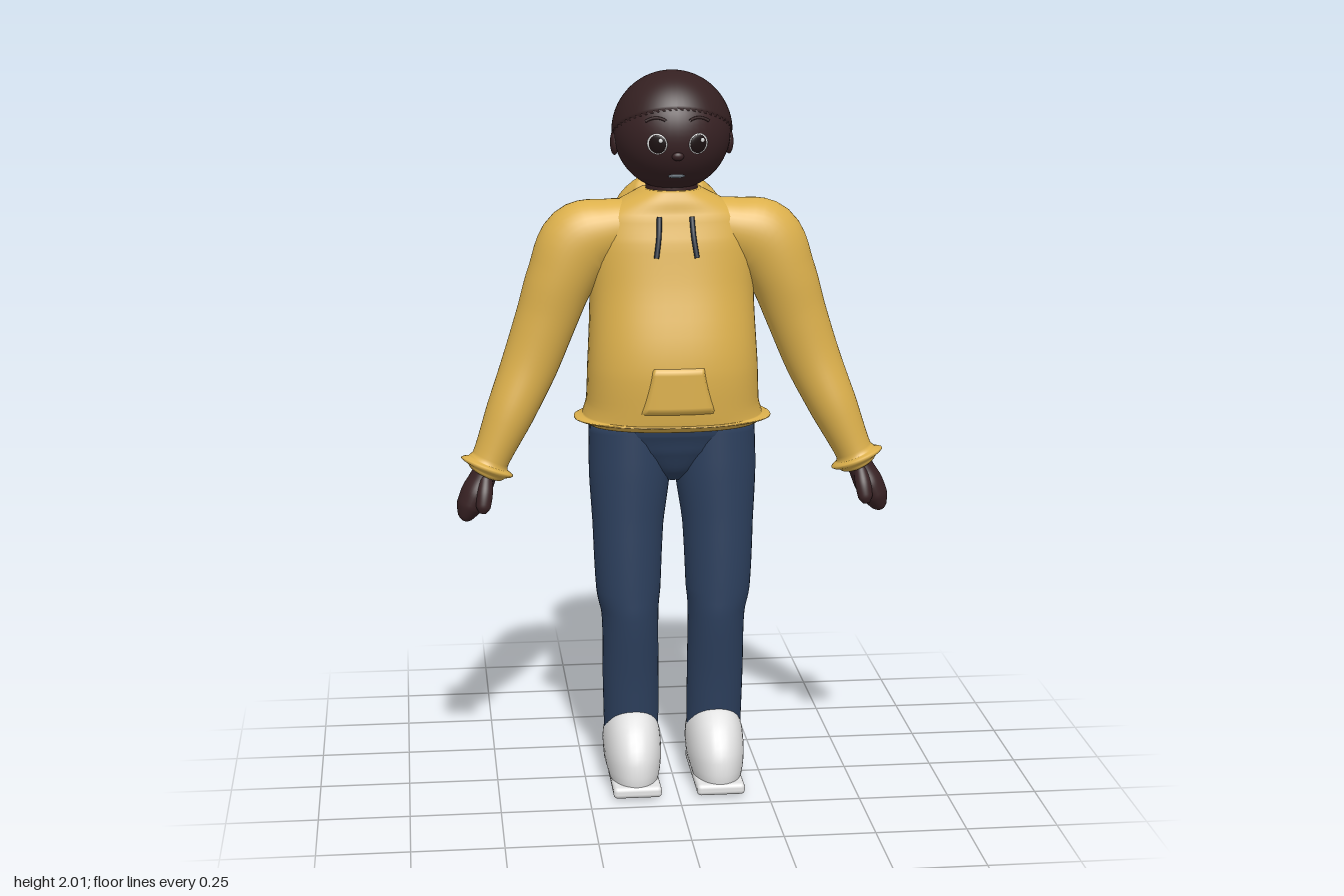
import * as THREE from 'three';
import { RoundedBoxGeometry } from 'three/addons/geometries/RoundedBoxGeometry.js';

const material = (name, color) => {
  const m = new THREE.MeshStandardMaterial({ color });
  m.name = name;
  return m;
};

// Closed smooth skin through elliptical sections [x, y, z, radiusX, radiusZ].
function loft(sections, n = 2, around = 40, perSpan = 5) {
  const path = new THREE.CatmullRomCurve3(sections.map(s => new THREE.Vector3(s[0], s[1], s[2])));
  const size = new THREE.CatmullRomCurve3(sections.map(s => new THREE.Vector3(s[3], s[4], 0)));
  const steps = (sections.length - 1) * perSpan;
  const pos = [], index = [];
  const power = v => Math.sign(v) * Math.abs(v) ** (2 / n);
  for (let i = -1; i <= steps + 1; i++) {
    const t = Math.min(Math.max(i / steps, 0), 1);
    const shut = i < 0 || i > steps ? 0 : 1;
    const c = path.getPoint(t), r = size.getPoint(t);
    const dir = path.getPoint(Math.min(t + 0.01, 1)).sub(path.getPoint(Math.max(t - 0.01, 0))).normalize();
    const a = new THREE.Vector3(dir.y, -dir.x, 0).normalize();
    const b = dir.clone().cross(a);
    for (let j = 0; j < around; j++) {
      const q = j / around * Math.PI * 2;
      const p = c.clone()
        .addScaledVector(a, power(Math.cos(q)) * r.x * shut)
        .addScaledVector(b, -power(Math.sin(q)) * r.y * shut);
      pos.push(p.x, p.y, p.z);
    }
  }
  for (let i = 0; i < steps + 2; i++) {
    for (let j = 0; j < around; j++) {
      const k = (j + 1) % around, lo = i * around, hi = lo + around;
      index.push(lo + j, hi + j, lo + k, lo + k, hi + j, hi + k);
    }
  }
  const g = new THREE.BufferGeometry();
  g.setAttribute('position', new THREE.Float32BufferAttribute(pos, 3));
  g.setIndex(index);
  g.computeVertexNormals();
  return g;
}

const mirror = (sections, side) => sections.map(([x, ...rest]) => [x * side, ...rest]);

export function createModel() {
  const model = new THREE.Group();
  const fabric = material('yellow fabric', 0xdcb04c);
  const denim = material('navy denim', 0x2d405e);
  const skin = material('dark skin', 0x382224);
  const hair = material('hair', 0x342021);
  hair.side = THREE.DoubleSide;
  const white = material('white', 0xe4e4e4);
  const cord = material('dark cord', 0x232b38);
  const iris = material('iris', 0x1c1112);
  const lips = material('mouth', 0x76828c);

  const add = (name, geometry, mat, parent = model) => {
    const m = new THREE.Mesh(geometry, mat);
    m.name = name;
    parent.add(m);
    return m;
  };

  // Sweater body, wide at the hem and closing at the collar
  add('sweaterBody', loft([
    [0, 1.035, 0, 0.235, 0.155], [0, 1.045, 0, 0.25, 0.166], [0, 1.06, 0, 0.25, 0.166],
    [0, 1.1, 0.003, 0.239, 0.168], [0, 1.2, 0.005, 0.235, 0.17], [0, 1.4, -0.017, 0.226, 0.148],
    [0, 1.54, -0.023, 0.23, 0.128], [0, 1.61, -0.024, 0.21, 0.11], [0, 1.652, -0.024, 0.14, 0.1],
    [0, 1.682, -0.024, 0.08, 0.09],
  ], 2.3, 56), fabric);

  // Hood lying on the back
  add('hood', loft([
    [0, 1.412, -0.165, 0.035, 0.018], [0, 1.44, -0.15, 0.1, 0.048], [0, 1.5, -0.13, 0.15, 0.075],
    [0, 1.58, -0.115, 0.165, 0.088], [0, 1.64, -0.1, 0.14, 0.08], [0, 1.682, -0.06, 0.085, 0.06],
  ]), fabric);

  // Front pocket: curved trapezoid whose rim sinks into the body
  const pocket = new THREE.PlaneGeometry(1, 1, 24, 12);
  const pp = pocket.attributes.position;
  for (let i = 0; i < pp.count; i++) {
    const u = pp.getX(i) * 2, v = pp.getY(i) + 0.5;
    const rim = Math.abs(u) > 0.99 || v < 0.01 || v > 0.99;
    const x = u * (0.072 + 0.032 * (1 - v) ** 1.3), y = 1.085 + v * 0.135;
    const front = 0.005 + 0.17 * (1 - Math.abs(x / 0.235) ** 2.3) ** (1 / 2.3);
    pp.setXYZ(i, x, y, front + (rim ? -0.008 : 0.008));
  }
  pocket.computeVertexNormals();
  add('pocket', pocket, fabric);

  // Hips joining both trouser legs
  add('trouserHips', loft([
    [0, 0.87, -0.005, 0.03, 0.05], [0, 0.9, -0.008, 0.09, 0.09], [0, 0.96, -0.014, 0.19, 0.125],
    [0, 1.02, -0.016, 0.232, 0.142], [0, 1.07, -0.01, 0.225, 0.145],
  ], 2.2), denim);

  for (const side of [1, -1]) {
    const label = side > 0 ? 'left' : 'right';
    const limb = (part, sections, mat, n) => add(label + part, loft(mirror(sections, side), n), mat);

    // Sleeve from the collar over the shoulder to a flared cuff
    limb('Sleeve', [
      [0.05, 1.58, -0.015, 0.07, 0.07], [0.17, 1.565, -0.012, 0.09, 0.084], [0.25, 1.535, -0.01, 0.11, 0.09],
      [0.305, 1.44, -0.01, 0.094, 0.088], [0.345, 1.33, -0.012, 0.085, 0.082], [0.393, 1.2, -0.008, 0.078, 0.078],
      [0.45, 1.07, 0.012, 0.067, 0.073], [0.506, 0.945, 0.027, 0.052, 0.06], [0.512, 0.932, 0.028, 0.058, 0.064],
      [0.519, 0.915, 0.03, 0.058, 0.064], [0.523, 0.907, 0.03, 0.047, 0.054],
    ], fabric);

    // Mitten hand with a thumb towards the front
    limb('Hand', [
      [0.51, 0.935, 0.03, 0.032, 0.036], [0.53, 0.89, 0.034, 0.036, 0.045], [0.55, 0.85, 0.038, 0.04, 0.056],
      [0.567, 0.815, 0.042, 0.036, 0.053], [0.58, 0.785, 0.046, 0.02, 0.032], [0.583, 0.778, 0.046, 0.008, 0.015],
    ], skin);
    limb('Thumb', [
      [0.52, 0.9, 0.06, 0.018, 0.018], [0.525, 0.86, 0.085, 0.022, 0.02], [0.53, 0.825, 0.097, 0.02, 0.018],
      [0.533, 0.808, 0.1, 0.009, 0.008],
    ], skin);

    // Trouser leg with a soft knee
    limb('TrouserLeg', [
      [0.118, 1.03, -0.015, 0.113, 0.13], [0.12, 0.9, 0, 0.113, 0.118], [0.126, 0.75, 0.014, 0.099, 0.104],
      [0.126, 0.56, 0.022, 0.09, 0.098], [0.122, 0.49, 0.022, 0.08, 0.096], [0.12, 0.3, 0.012, 0.079, 0.078],
      [0.118, 0.14, 0.002, 0.077, 0.07], [0.118, 0.11, 0.002, 0.073, 0.066],
    ], denim);

    // Shoe: long toe low down, narrowing to a high heel collar
    limb('ShoeUpper', [
      [0.118, 0.02, 0.045, 0.066, 0.145], [0.118, 0.06, 0.047, 0.078, 0.153], [0.118, 0.095, 0.03, 0.081, 0.137],
      [0.118, 0.122, -0.015, 0.08, 0.094], [0.118, 0.15, -0.045, 0.07, 0.064], [0.118, 0.185, -0.066, 0.04, 0.036],
    ], white, 2.2);
    add(label + 'ShoeSole', new RoundedBoxGeometry(0.135, 0.032, 0.315, 3, 0.012), white)
      .position.set(side * 0.117, 0.016, 0.047);

    // Hanging drawstring
    const string = new THREE.CatmullRomCurve3([[0.044, 1.615, 0.088], [0.047, 1.565, 0.106], [0.055, 1.508, 0.119]]
      .map(([x, y, z]) => new THREE.Vector3(x * side, y, z)));
    add(label + 'Drawstring', new THREE.TubeGeometry(string, 12, 0.007, 8), cord);
  }

  // Head
  const head = new THREE.Group();
  head.name = 'head';
  head.position.set(0, 1.837, -0.006);
  model.add(head);
  const R = 0.159;
  add('skull', new THREE.SphereGeometry(R, 48, 32), skin, head);
  add('neck', new THREE.CylinderGeometry(0.07, 0.075, 0.12, 24), skin, head).position.set(0, -0.17, -0.01);

  // Hair cap: high at the brow, low at the nape
  const cap = new THREE.SphereGeometry(1, 56, 28);
  const cp = cap.attributes.position;
  for (let i = 0; i < cp.count; i++) {
    const col = i % 57, row = Math.floor(i / 57);
    const az = col / 56 * Math.PI * 2;
    const polar = row / 28 * (1.65 - 0.52 * Math.cos(az));
    const r = row === 28 ? R - 0.002 : R + 0.005;
    cp.setXYZ(i, Math.sin(az) * Math.sin(polar) * r, Math.cos(polar) * r, Math.cos(az) * Math.sin(polar) * r);
  }
  cap.computeVertexNormals();
  add('hairCap', cap, hair, head);

  // Face details sit on the skull and face outwards
  const onFace = (name, geometry, mat, x, y, lift = 0) => {
    const m = add(name, geometry, mat, head);
    const out = new THREE.Vector3(x, y, Math.sqrt(R * R - x * x - y * y)).normalize();
    m.position.copy(out).multiplyScalar(R + lift);
    m.quaternion.setFromUnitVectors(new THREE.Vector3(0, 0, 1), out);
    return m;
  };
  const dot = (rx, ry, rz) => new THREE.SphereGeometry(1, 20, 14).scale(rx, ry, rz);
  for (const s of [1, -1]) {
    onFace('eyeWhite', dot(0.028, 0.028, 0.005), white, s * 0.055, -0.018);
    onFace('iris', dot(0.024, 0.025, 0.005), iris, s * 0.054, -0.018, 0.002);
    onFace('eyeGlint', dot(0.006, 0.006, 0.003), white, s * 0.054 + 0.009, -0.008, 0.006);
    const brow = new THREE.TorusGeometry(0.05, 0.004, 8, 16, 1.2).rotateZ(Math.PI / 2 - 0.6).translate(0, -0.05, 0);
    onFace('eyebrow', brow, hair, s * 0.058, 0.05);
    add('ear', dot(0.012, 0.034, 0.025), skin, head).position.set(s * 0.156, -0.03, -0.004);
  }
  onFace('nose', dot(0.016, 0.012, 0.01), skin, 0, -0.052);
  onFace('mouth', dot(0.023, 0.007, 0.004), lips, 0, -0.108);

  return model;
}
